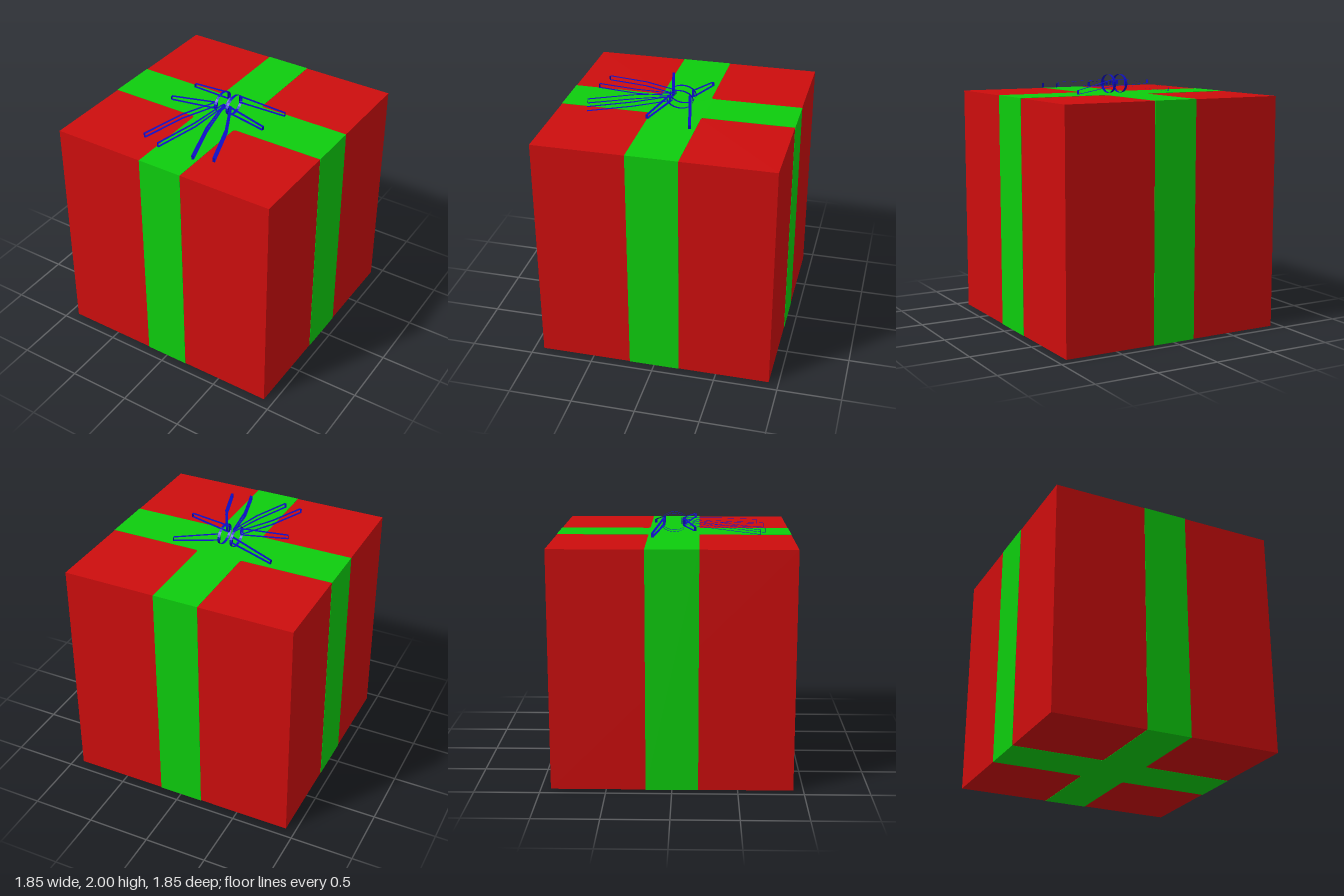
import * as THREE from 'three';

const red = new THREE.MeshStandardMaterial({ color: 0xcc0d0d });
red.name = 'wrapping red';
const green = new THREE.MeshStandardMaterial({ color: 0x0dcc0d });
green.name = 'ribbon green';
const blue = new THREE.MeshStandardMaterial({ color: 0x0d0dc4, side: THREE.DoubleSide });
blue.name = 'bow blue';

const HALF = 0.925, SKIN = 0.002;
const BAND_X = 0.18, BAND_Z = 0.2, NOTCH = 0.015;

function add(parent, name, geometry, material, x = 0, y = 0, z = 0) {
  const mesh = new THREE.Mesh(geometry, material);
  mesh.name = name;
  mesh.position.set(x, y, z);
  parent.add(mesh);
  return mesh;
}

// Cross-shaped band with slightly cut inner corners
function crossGeometry() {
  const a = BAND_X, b = BAND_Z, n = NOTCH, h = HALF;
  const quarter = [[h, b], [a + n, b], [a, b + n], [a, h]];
  const flip = (sx, sz) => quarter.map(([x, z]) => new THREE.Vector2(x * sx, z * sz));
  const outline = [
    ...flip(1, 1), ...flip(-1, 1).reverse(), ...flip(-1, -1), ...flip(1, -1).reverse(),
  ];
  const g = new THREE.ExtrudeGeometry(new THREE.Shape(outline), { depth: SKIN, bevelEnabled: false });
  return g.rotateX(-Math.PI / 2);
}

// Closed loop of flat tape: each point is swept sideways by its own half-width vector
function tapeGeometry(points, sides) {
  const pos = [];
  for (let i = 0; i < points.length; i++) {
    const j = (i + 1) % points.length;
    const a = points[i].clone().add(sides[i]), b = points[i].clone().sub(sides[i]);
    const c = points[j].clone().add(sides[j]), d = points[j].clone().sub(sides[j]);
    for (const v of [a, b, c, c, b, d]) pos.push(v.x, v.y, v.z);
  }
  const g = new THREE.BufferGeometry();
  g.setAttribute('position', new THREE.Float32BufferAttribute(pos, 3));
  g.computeVertexNormals();
  return g;
}

// Flattened loop along stations [x, z, top, bottom, tape width]
function flatLoop(stations) {
  const top = [], bottom = [], sides = [];
  stations.forEach(([x, z, yTop, yBottom, width], i) => {
    const p = stations[Math.max(i - 1, 0)];
    const q = stations[Math.min(i + 1, stations.length - 1)];
    top.push(new THREE.Vector3(x, yTop, z));
    bottom.push(new THREE.Vector3(x, yBottom, z));
    sides.push(new THREE.Vector3(p[1] - q[1], 0, q[0] - p[0]).setLength(width / 2));
  });
  return tapeGeometry([...top, ...bottom.reverse()], [...sides, ...sides.slice().reverse()]);
}

export function createModel() {
  const model = new THREE.Group();
  model.name = 'giftBox';

  // Wrapped box with flush bands
  const inner = 2 * (HALF - SKIN);
  add(model, 'box', new THREE.BoxGeometry(inner, 2 * HALF - 2 * SKIN, inner), red, 0, HALF, 0);
  for (const s of [1, -1]) {
    const off = s * (HALF - SKIN / 2);
    add(model, s > 0 ? 'frontBand' : 'backBand',
      new THREE.BoxGeometry(2 * BAND_X, 2 * HALF, SKIN), green, 0, HALF, off);
    add(model, s > 0 ? 'leftBand' : 'rightBand',
      new THREE.BoxGeometry(SKIN, 2 * HALF, 2 * BAND_Z), green, off, HALF, 0);
  }
  add(model, 'topCross', crossGeometry(), green, 0, 2 * HALF - SKIN, 0);
  add(model, 'bottomCross', crossGeometry(), green);

  // Bow: knot rings, side loops and trailing tails, mirrored left and right
  const bow = new THREE.Group();
  bow.name = 'bow';
  model.add(bow);
  const ringPoints = [], ringSides = [];
  for (let i = 0; i < 24; i++) {
    const t = (i / 24) * Math.PI * 2;
    ringPoints.push(new THREE.Vector3(0, 1.926 + 0.074 * Math.cos(t), 0.105 * Math.sin(t)));
    ringSides.push(new THREE.Vector3(0.011, 0, 0));
  }
  const ring = tapeGeometry(ringPoints, ringSides);

  for (const s of [1, -1]) {
    const side = s > 0 ? 'left' : 'right';
    const loop = (name, stations) =>
      add(bow, side + name, flatLoop(stations.map(([x, ...rest]) => [x * s, ...rest])), blue);

    add(bow, side + 'KnotRing', ring, blue, s * 0.052, 0, 0);
    loop('BackLoop', [[0.05, -0.08, 1.965, 1.91, 0.022], [0.415, -0.162, 1.89, 1.86, 0.022]]);
    loop('FrontLoop', [[0.05, 0.08, 1.955, 1.9, 0.022], [0.415, 0.168, 1.94, 1.91, 0.022]]);
    loop('InnerTail', [
      [0.002, 0.06, 1.947, 1.925, 0.012], [0.055, 0.38, 1.925, 1.89, 0.018],
      [0.155, 0.72, 1.897, 1.863, 0.02],
    ]);
    loop('OuterTail', [
      [0.06, 0.06, 1.95, 1.915, 0.016], [0.2, 0.34, 1.932, 1.897, 0.02],
      [0.308, 0.675, 1.905, 1.87, 0.02],
    ]);
  }
  return model;
}
